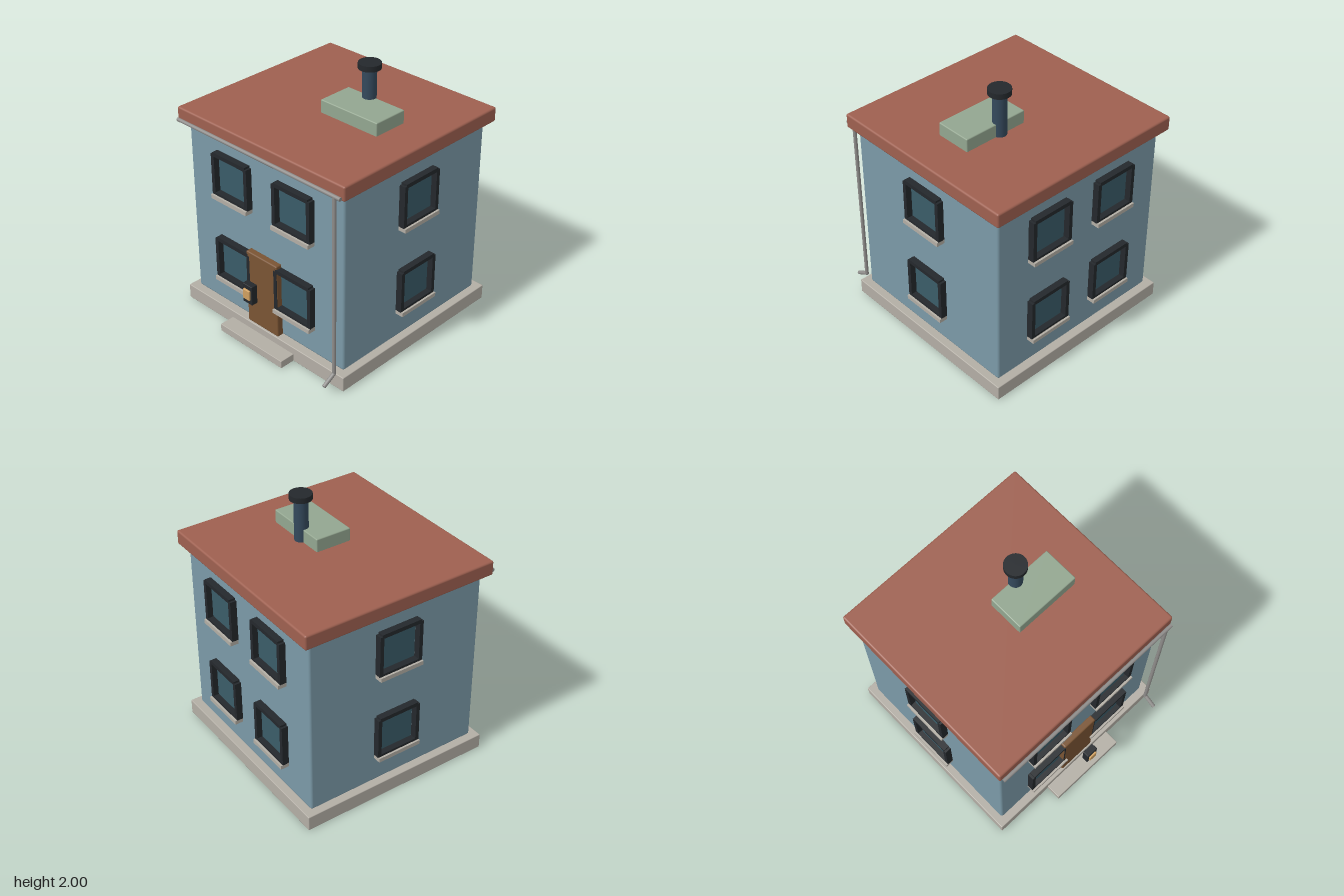
import * as THREE from 'three';
import { RoundedBoxGeometry } from 'three/addons/geometries/RoundedBoxGeometry.js';

const mat = (color) => new THREE.MeshStandardMaterial({ color });
const M = {
  wall: mat(0x7b9aa8), stone: mat(0xb3aea5), roof: mat(0x9e6050), glass: mat(0x3a5c68),
  frame: mat(0x24282c), door: mat(0x7a5433), glow: mat(0xd0a060), pipe: mat(0x8f8d8b),
  flue: mat(0x34495c), hatch: mat(0x93a690),
};

function add(parent, name, geometry, material, x = 0, y = 0, z = 0) {
  const mesh = new THREE.Mesh(geometry, material);
  mesh.name = name;
  mesh.position.set(x, y, z);
  parent.add(mesh);
  return mesh;
}

// Box given by its extents on each axis; r rounds its edges
function block(parent, name, material, [x0, x1], [y0, y1], [z0, z1], r = 0) {
  const size = [x1 - x0, y1 - y0, z1 - z0];
  const geo = r ? new RoundedBoxGeometry(...size, 2, r) : new THREE.BoxGeometry(...size);
  return add(parent, name, geo, material, (x0 + x1) / 2, (y0 + y1) / 2, (z0 + z1) / 2);
}

// Round pipe between two points
function pipe(parent, name, a, b, r) {
  const from = new THREE.Vector3(...a), to = new THREE.Vector3(...b);
  const dir = to.clone().sub(from);
  const mesh = add(parent, name, new THREE.CylinderGeometry(r, r, dir.length(), 16), M.pipe);
  mesh.position.copy(from).add(to).multiplyScalar(0.5);
  mesh.quaternion.setFromUnitVectors(new THREE.Vector3(0, 1, 0), dir.normalize());
}

// Window facing +z, with the wall at z = 0 and the sill's underside at y = 0
function makeWindow() {
  const w = new THREE.Group();
  w.name = 'window';
  block(w, 'glass', M.glass, [-0.14, 0.14], [0.06, 0.33], [-0.02, 0.015], 0.006);
  for (const s of [-1, 1]) {
    block(w, 'frameSide', M.frame, [s * 0.165 - 0.015, s * 0.165 + 0.015], [0.03, 0.356], [-0.01, 0.05]);
  }
  block(w, 'frameTop', M.frame, [-0.163, 0.163], [0.34, 0.371], [-0.01, 0.05]);
  block(w, 'frameBottom', M.frame, [-0.163, 0.163], [0.02, 0.05], [-0.01, 0.05]);
  block(w, 'sill', M.stone, [-0.18, 0.18], [0, 0.032], [-0.01, 0.066]);
  return w;
}

export function createModel() {
  const house = new THREE.Group();
  house.name = 'house';
  const zMid = -0.065;

  // Main masses
  block(house, 'base', M.stone, [-0.81, 0.81], [0, 0.117], [-0.84, 0.71], 0.006);
  block(house, 'frontStep', M.stone, [-0.32, 0.32], [0, 0.06], [0.6, 0.83], 0.004);
  block(house, 'walls', M.wall, [-0.755, 0.755], [0.116, 1.526], [-0.78, 0.65], 0.018);
  block(house, 'roof', M.roof, [-0.81, 0.81], [1.525, 1.637], [-0.84, 0.71], 0.014);

  // Roof box and chimney
  block(house, 'roofBox', M.hatch, [-0.02, 0.503], [1.63, 1.737], [-0.207, 0.075], 0.008);
  add(house, 'chimney', new THREE.CylinderGeometry(0.052, 0.052, 0.35, 32), M.flue, 0.193, 1.8, -0.19);
  add(house, 'chimneyCap', new THREE.CylinderGeometry(0.083, 0.083, 0.042, 32), M.frame, 0.193, 1.979, -0.19);

  // Door and lamp
  block(house, 'door', M.door, [-0.155, 0.155], [0.117, 0.722], [0.645, 0.7], 0.01);
  block(house, 'lampHousing', M.frame, [-0.047, 0.047], [0.413, 0.567], [0.787, 0.839], 0.004);
  block(house, 'lampGlow', M.glow, [-0.033, 0.033], [0.45, 0.532], [0.82, 0.853], 0.006);

  // Gutter, downpipe and its outlet
  pipe(house, 'gutter', [-0.79, 1.548, 0.725], [0.79, 1.548, 0.725], 0.014);
  pipe(house, 'downpipe', [0.737, 0.125, 0.725], [0.737, 1.55, 0.725], 0.014);
  pipe(house, 'downpipeOutlet', [0.737, 0.133, 0.72], [0.737, 0.072, 0.827], 0.015);

  // Two storeys of windows: two on the front and back, one on each side
  const places = [
    [-0.303, 0.65, 0], [0.303, 0.65, 0],
    [-0.303, -0.78, Math.PI], [0.303, -0.78, Math.PI],
    [0.755, zMid, Math.PI / 2], [-0.755, zMid, -Math.PI / 2],
  ];
  for (const y of [0.326, 1.026]) {
    for (const [x, z, turn] of places) {
      const w = makeWindow();
      w.position.set(x, y, z);
      w.rotation.y = turn;
      house.add(w);
    }
  }
  return house;
}
